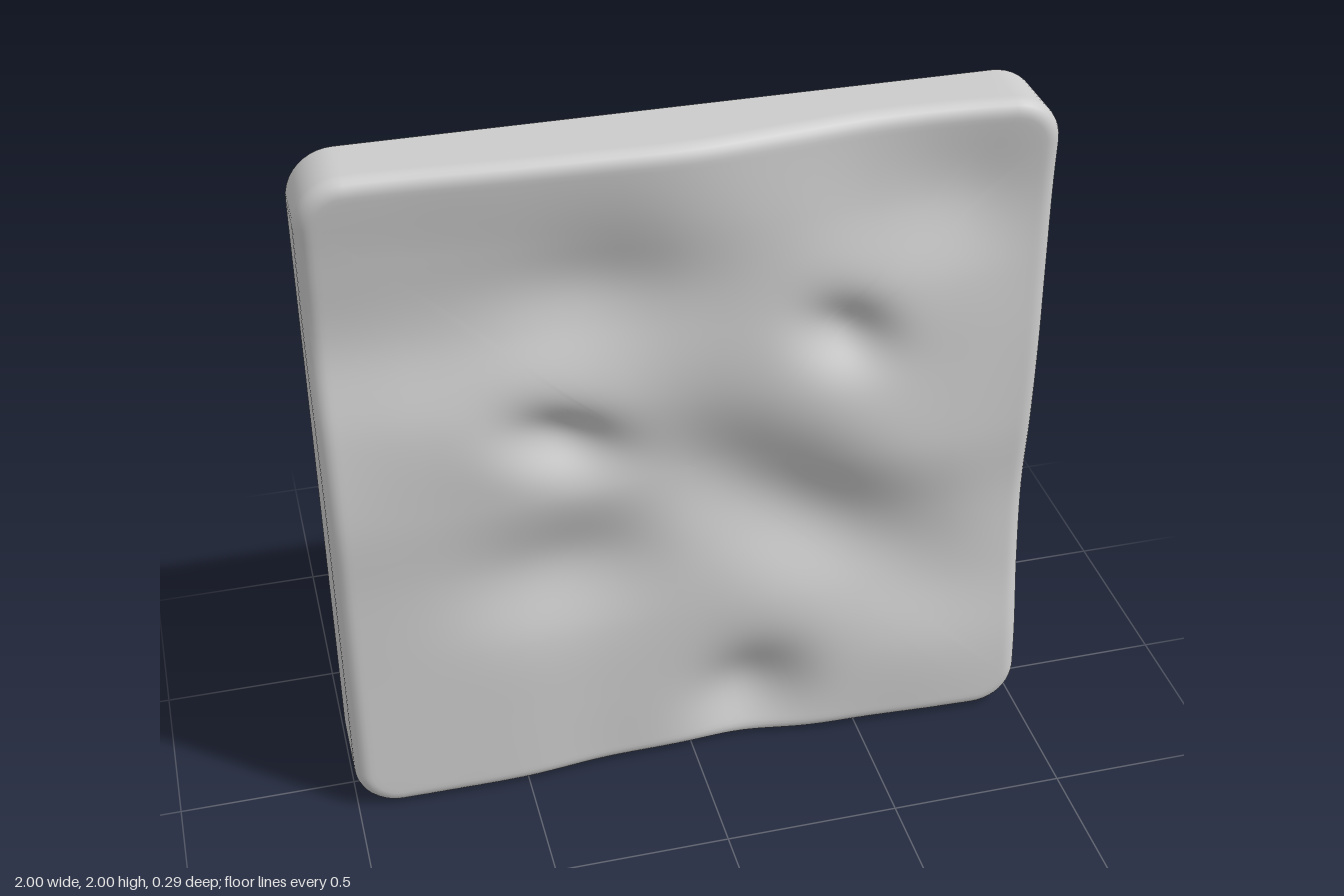
import * as THREE from 'three';

const BACK = -0.145, CORNER = 0.13;      // back plane, corner radius
const FRONT_EDGE = 0.045, BACK_EDGE = 0.025; // edge roundings

// Coarse relief in thousandths: rows y = 0, 0.25 .. 2, columns x = -1, -0.75 .. 1
const RELIEF = [
  [130, 132, 130, 106, 108, 130, 126, 138, 146],
  [124, 125, 125, 108, 108, 126, 126, 134, 134],
  [118, 118, 116, 102, 104, 116, 112, 96, 97],
  [116, 112, 92, 76, 92, 100, 100, 86, 73],
  [120, 121, 118, 104, 90, 108, 116, 110, 88],
  [86, 108, 122, 114, 108, 124, 122, 112, 92],
  [28, 44, 66, 74, 102, 117, 114, 98, 85],
  [42, 50, 66, 76, 103, 99, 63, 44, 80],
  [73, 78, 92, 102, 106, 80, 57, 64, 89],
];

// Dimples and swells: centre, radius along and across, tilt, depth (negative swells)
const DIMPLES = [
  [-0.36, 1.165, 0.17, 0.095, -0.45, 0.07],
  [0.42, 1.39, 0.14, 0.095, -0.65, 0.062],
  [0.18, 0.18, 0.16, 0.165, 0, 0.085],
  [0.32, 0.79, 0.44, 0.18, -0.66, 0.066],
  [0.46, 1.07, 0.38, 0.17, -0.66, -0.022],
  [-0.24, 1.6, 0.3, 0.16, 0, 0.042],
  [-0.37, 0.72, 0.24, 0.17, 0.1, 0.034],
];

function spline(values, t) {
  const last = values.length - 1;
  const i = Math.min(Math.max(Math.floor(t), 0), last - 1), f = t - i;
  const a = values[Math.max(i - 1, 0)], b = values[i];
  const c = values[i + 1], d = values[Math.min(i + 2, last)];
  return b + 0.5 * f * (c - a + f * (2 * a - 5 * b + 4 * c - d + f * (3 * (b - c) + d - a)));
}

function frontHeight(x, y) {
  let z = spline(RELIEF.map((row) => spline(row, (x + 1) * 4)), y * 4) / 1000;
  for (const [cx, cy, along, across, tilt, depth] of DIMPLES) {
    const dx = x - cx, dy = y - cy, c = Math.cos(tilt), s = Math.sin(tilt);
    const u = (dx * c + dy * s) / along, v = (dy * c - dx * s) / across;
    z -= depth * Math.exp(-(u * u + v * v));
  }
  return z;
}

// Rounded square outline, counter-clockwise from the front, moved in by inset
function outline(inset) {
  const points = [], r = CORNER - inset, h = 1 - CORNER, arc = 10, side = 44;
  const corners = [[h, h], [-h, h], [-h, -h], [h, -h]];
  corners.forEach(([cx, cy], q) => {
    for (let i = 0; i <= arc; i++) {
      const a = (q + i / arc) * Math.PI / 2;
      points.push([cx + r * Math.cos(a), cy + r * Math.sin(a)]);
    }
    const [sx, sy] = points[points.length - 1];
    const [nx, ny] = corners[(q + 1) % 4];
    for (let i = 1; i < side; i++) {
      points.push([sx + (nx - cx) * i / side, sy + (ny - cy) * i / side]);
    }
  });
  return points;
}

function slabGeometry() {
  const positions = [], indices = [], steps = 6, rings = 70;
  let loops = 0;
  const addLoop = (inset, scale, zAt) => {
    for (const [px, py] of outline(inset)) {
      const x = px * scale, y = py * scale + 1;
      positions.push(x, y, zAt(x, y));
    }
    loops++;
  };

  // Flat back, then its rounded edge
  for (const k of [0, 0.5, 0.98]) addLoop(BACK_EDGE, k, () => BACK);
  for (let i = 0; i <= steps; i++) {
    const a = i / steps * Math.PI / 2;
    addLoop(BACK_EDGE * (1 - Math.sin(a)), 1, () => BACK + BACK_EDGE * (1 - Math.cos(a)));
  }
  // Rounded front edge following the relief
  for (let i = 0; i <= steps; i++) {
    const a = i / steps * Math.PI / 2;
    addLoop(FRONT_EDGE * (1 - Math.cos(a)), 1,
      (x, y) => frontHeight(x, y) - FRONT_EDGE * (1 - Math.sin(a)));
  }
  // Wavy front face
  for (let i = 1; i <= rings; i++) addLoop(FRONT_EDGE, 1 - i / rings, frontHeight);

  // Join neighbouring loops; the first and last shrink to a point
  const n = positions.length / 3 / loops;
  for (let i = 0; i < loops - 1; i++) {
    for (let j = 0; j < n; j++) {
      const a = i * n + j, b = i * n + (j + 1) % n;
      if (i > 0) indices.push(a, b, b + n);
      if (i < loops - 2) indices.push(a, b + n, a + n);
    }
  }
  const geometry = new THREE.BufferGeometry();
  geometry.setAttribute('position', new THREE.Float32BufferAttribute(positions, 3));
  geometry.setIndex(indices);
  geometry.computeVertexNormals();
  return geometry;
}

export function createModel() {
  const group = new THREE.Group();
  group.name = 'reliefTile';
  const slab = new THREE.Mesh(slabGeometry(), new THREE.MeshStandardMaterial({ color: 0xcccccc }));
  slab.name = 'wavySlab';
  group.add(slab);
  return group;
}
